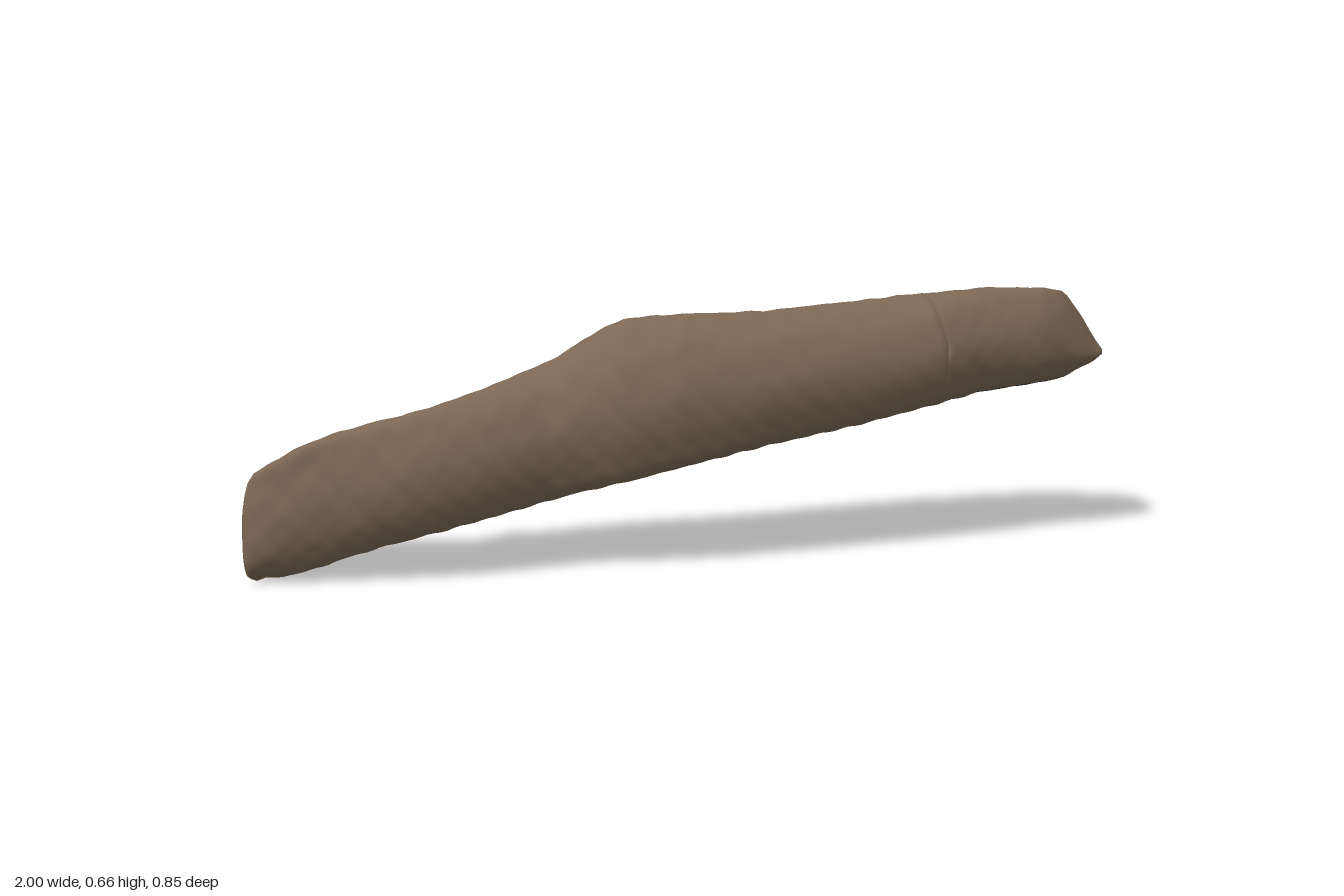
import * as THREE from 'three';

// Cross-section stations: x, front z, back z, top y, bottom y
const STATIONS = [
  [-1, 0.4, 0.31, 0.2, 0.02],
  [-0.988, 0.41, 0.27, 0.25, 0.008],
  [-0.97, 0.416, 0.19, 0.275, 0.01],
  [-0.945, 0.419, 0.125, 0.292, 0.014],
  [-0.87, 0.42, 0.045, 0.335, 0.03],
  [-0.8, 0.418, 0.03, 0.364, 0.055],
  [-0.7, 0.412, 0.06, 0.394, 0.09],
  [-0.61, 0.402, 0.045, 0.414, 0.113],
  [-0.55, 0.388, -0.015, 0.43, 0.127],
  [-0.45, 0.355, -0.035, 0.462, 0.153],
  [-0.3, 0.295, -0.1, 0.52, 0.19],
  [-0.2, 0.286, -0.13, 0.585, 0.215],
  [-0.13, 0.284, -0.145, 0.617, 0.233],
  [0, 0.262, -0.18, 0.624, 0.265],
  [0.2, 0.192, -0.26, 0.625, 0.31],
  [0.4, 0.112, -0.33, 0.64, 0.343],
  [0.6, 0.03, -0.385, 0.656, 0.387],
  [0.7, -0.03, -0.41, 0.664, 0.407],
  [0.85, -0.1, -0.42, 0.659, 0.42],
  [0.9, -0.135, -0.42, 0.648, 0.424],
  [0.95, -0.175, -0.38, 0.575, 0.445],
  [0.98, -0.205, -0.33, 0.522, 0.462],
  [1, -0.23, -0.27, 0.497, 0.483],
];
const SIDES = 66;
const CRACK_X = 0.555;
const ramp = (v, a, b) => THREE.MathUtils.clamp((v - a) / (b - a), 0, 1);

function station(x) {
  let i = 0;
  while (i < STATIONS.length - 2 && x > STATIONS[i + 1][0]) i++;
  const a = STATIONS[i], b = STATIONS[i + 1];
  const t = (x - a[0]) / (b[0] - a[0]);
  return a.map((v, k) => v + (b[k] - v) * t);
}

// Wedge section: tall rounded front, ridge, slope falling to a thin back edge
function section(x) {
  const [, front, back, top, low] = station(x);
  const w = front - back, h = top - low;
  const tip = ramp(x, 0.5, 0.85);
  const setback = Math.min(0.105 - 0.085 * ramp(-x, 0.2, 0.85) - 0.055 * tip, w * 0.4);
  const lift = Math.min(0.05, h * 0.2) * (1 - 0.8 * tip);
  const backTop = low + Math.min(lift + 0.036, h * 0.5);
  const ridge = front - setback;
  const keel = front - Math.min(0.085, w * 0.4);
  const slope = (t, drop) => [ridge + (back - ridge) * t, top + (backTop - top) * drop];
  const pts = [
    [keel, low],
    [front - Math.min(0.026, w * 0.07), low + h * 0.19],
    [front, low + h * 0.5],
    [front - setback * 0.3, low + h * 0.82],
    [ridge, top],
    slope(0.24, 0.12 + 0.1 * tip),
    slope(0.6, 0.66 + 0.08 * tip),
    [back + w * 0.03, backTop],
    [back, (low + lift + backTop) / 2 - 0.003],
    [back + w * 0.05, low + lift],
    [(keel + back) / 2, low + lift * 0.45],
  ].map(([z, y]) => new THREE.Vector3(x, y, z));
  return new THREE.CatmullRomCurve3(pts, true, 'catmullrom', 0.5);
}

// Fine weathered relief
function relief(x, y, z) {
  return 0.0016 * Math.sin(x * 43 + y * 11) * Math.sin(z * 53 - y * 47)
    + 0.0016 * Math.sin(x * 89 - z * 31) * Math.sin(y * 83 + z * 41);
}

function buildBody() {
  // Ring positions, with a tight cluster for the crack
  const xs = [];
  for (let i = 0; i <= 130; i++) xs.push(-1 + (2 * i) / 130);
  for (const f of [-0.005, -0.002, 0.002, 0.005]) xs.push(CRACK_X + f);
  for (const e of [-0.994, 0.99, 0.995]) xs.push(e);
  xs.sort((a, b) => a - b);

  const pos = [], wood = [], burnt = [];
  for (const x of xs) {
    const cracked = Math.abs(x - CRACK_X) < 0.003;
    // Rings near the crack lean toward the tip on the front face
    const near = Math.exp(-(((x - CRACK_X) / 0.12) ** 2));
    const straight = section(x);
    for (let j = 0; j < SIDES; j++) {
      const u = j / SIDES;
      const frontLean = 0.065 * (1 - ramp(u, 0.2, 0.4)) * ramp(u, 0, 0.1);
      const backLean = 0.02 * ramp(u, 0.4, 0.62) * (1 - ramp(u, 0.62, 0.75));
      const lean = near * (frontLean + backLean);
      const curve = lean > 0.001 ? section(x + lean) : straight;
      const p = curve.getPoint(u);
      const [, front, back, top, low] = station(p.x);
      const dy = p.y - (top + low) / 2, dz = p.z - (front + back) / 2;
      const len = Math.hypot(dy, dz) || 1;
      const fade = Math.min(1, len / 0.08);
      let d = relief(p.x, p.y, p.z) * fade;
      if (cracked) d -= 0.007 * ramp(u, 0.12, 0.2) * (1 - ramp(u, 0.6, 0.65));
      // Ragged back edge
      if (u > 0.62 && u < 0.85) d += 0.006 * fade * Math.sin(x * 83) * Math.sin(x * 37);
      pos.push(p.x, p.y + (dy / len) * d, p.z + (dz / len) * d);
    }
  }
  for (let i = 0; i < xs.length - 1; i++) {
    for (let j = 0; j < SIDES; j++) {
      const n = (j + 1) % SIDES, u = (j + 0.5) / SIDES;
      const a = i * SIDES + j, b = i * SIDES + n, c = a + SIDES, d = b + SIDES;
      // Darkened underside near the tip, with a slanted border
      const start = u < 0.5 ? 0.6 : 0.5 + 0.1 * ramp(u, 0.72, 1);
      const limit = xs[i] > 0.9 ? 0.68 : 0.725;
      const dark = xs[i] > start && (u > limit || u < 0.02);
      (dark ? burnt : wood).push(a, c, b, b, c, d);
    }
  }
  // Closed ends
  for (const end of [0, xs.length - 1]) {
    const base = end * SIDES, mid = pos.length / 3;
    const [x, front, back, top, low] = station(xs[end]);
    pos.push(x, (top + low) / 2, (front + back) / 2);
    for (let j = 0; j < SIDES; j++) {
      const a = base + j, b = base + ((j + 1) % SIDES);
      if (end === 0) wood.push(mid, a, b);
      else wood.push(mid, b, a);
    }
  }
  const geo = new THREE.BufferGeometry();
  geo.setAttribute('position', new THREE.Float32BufferAttribute(pos, 3));
  geo.setIndex([...wood, ...burnt]);
  geo.addGroup(0, wood.length, 0);
  geo.addGroup(wood.length, burnt.length, 1);
  geo.computeVertexNormals();
  return geo;
}

export function createModel() {
  const brown = new THREE.MeshStandardMaterial({ color: 0x7c6854 });
  brown.name = 'weatheredBrown';
  const dark = new THREE.MeshStandardMaterial({ color: 0x464843 });
  dark.name = 'charcoalGrey';

  const group = new THREE.Group();
  group.name = 'weatheredFragment';
  const geo = buildBody();
  const body = new THREE.Mesh(geo, [brown, dark]);
  body.name = 'body';
  group.add(body);

  // Small oval knot seated on the upper slope
  const p = geo.attributes.position, n = geo.attributes.normal;
  let best = 0, bestD = Infinity;
  for (let i = 0; i < p.count; i++) {
    const d = Math.hypot(p.getX(i) + 0.48, p.getZ(i) - 0.03);
    if (n.getY(i) > 0.2 && d < bestD) { bestD = d; best = i; }
  }
  const knot = new THREE.Mesh(new THREE.TorusGeometry(0.03, 0.003, 6, 24), brown);
  knot.name = 'knot';
  knot.position.fromBufferAttribute(p, best);
  knot.quaternion.setFromUnitVectors(
    new THREE.Vector3(0, 0, 1), new THREE.Vector3().fromBufferAttribute(n, best));
  knot.scale.set(1, 0.8, 1);
  group.add(knot);

  // Rest on the ground
  geo.computeBoundingBox();
  group.position.y = -geo.boundingBox.min.y;
  return group;
}
